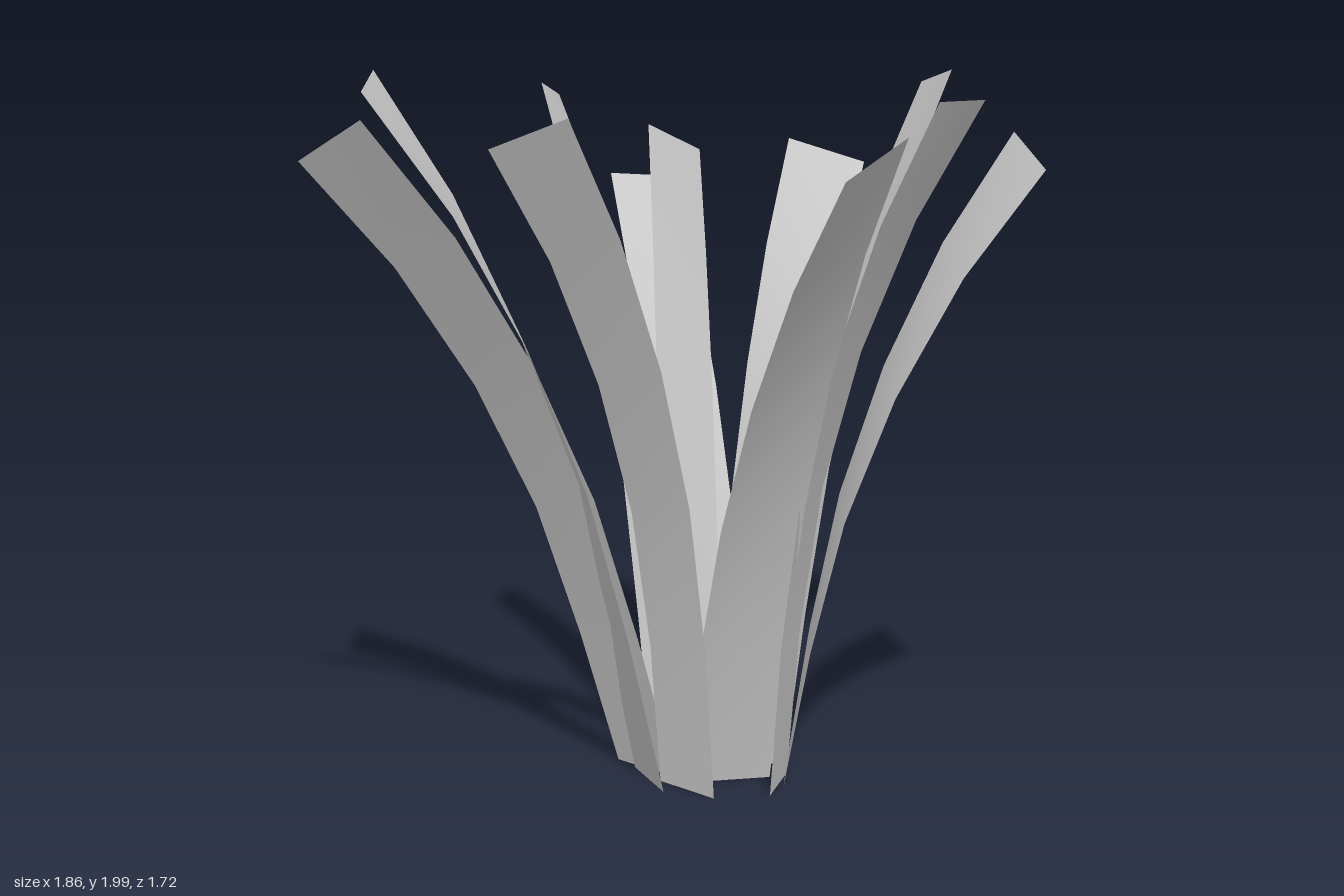
import * as THREE from 'three';

// Each blade: base edge [x, z] left/right, tip edge [x, y, z] left/right, extra curl
const BLADES = [
  [[-0.14, -0.14], [0.07, -0.23], [-0.51, 1.62, -0.65], [-0.36, 1.6, -0.8], 0],
  [[-0.15, -0.08], [-0.01, -0.19], [-0.32, 1.79, -0.45], [-0.23, 1.7, -0.65], 0],
  [[-0.04, -0.19], [0.19, -0.09], [0.04, 1.74, -0.67], [0.25, 1.67, -0.74], 0],
  [[0.07, -0.22], [0.21, -0.09], [0.39, 1.9, -0.86], [0.52, 1.95, -0.7], 0],
  [[0.2, -0.15], [0.26, 0.08], [0.8, 1.82, -0.27], [0.93, 1.74, -0.08], 0.1],
  [[0.235, -0.03], [0.25, 0.18], [0.81, 1.94, 0.13], [0.74, 1.95, 0.34], 0.3],
  [[0.2, 0.02], [-0.02, 0.15], [0.74, 1.89, 0.65], [0.64, 1.8, 0.86], -0.05],
  [[0.11, 0.25], [-0.08, 0.15], [-0.11, 1.92, 0.75], [-0.31, 1.84, 0.79], 0.33],
  [[-0.05, 0.11], [-0.26, 0], [-0.72, 1.89, 0.66], [-0.93, 1.77, 0.6], -0.04],
  [[-0.04, 0.24], [-0.19, 0.055], [-0.73, 1.96, 0.63], [-0.79, 2, 0.42], 0],
  [[-0.14, 0.05], [-0.02, -0.11], [-0.53, 1.93, -0.14], [-0.55, 1.88, -0.33], 0],
];

// Shared bend: outward and upward fraction at each cross-section
const OUT = [0, 0.12, 0.26, 0.455, 0.705, 1];
const UP = [0, 0.22, 0.435, 0.638, 0.83, 1];

function bladeGeometry([baseA, baseB, tipA, tipB, curl]) {
  const positions = [], indices = [];
  UP.forEach((u, i) => {
    // More curl keeps the lower blade upright and bends the upper part harder
    const s = OUT[i] - curl * u * (1 - u);
    for (const [base, tip] of [[baseA, tipA], [baseB, tipB]]) {
      positions.push(
        THREE.MathUtils.lerp(base[0], tip[0], s),
        THREE.MathUtils.lerp(0.01, tip[1], u),
        THREE.MathUtils.lerp(base[1], tip[2], s),
      );
    }
    if (i > 0) {
      const k = 2 * i;
      indices.push(k - 2, k - 1, k, k - 1, k + 1, k);
    }
  });
  const geometry = new THREE.BufferGeometry();
  geometry.setAttribute('position', new THREE.Float32BufferAttribute(positions, 3));
  geometry.setIndex(indices);
  geometry.computeVertexNormals();
  return geometry;
}

export function createModel() {
  const model = new THREE.Group();
  model.name = 'grassTuft';
  const grey = new THREE.MeshStandardMaterial({ color: 0xcccccc, side: THREE.DoubleSide });
  grey.name = 'bladeGrey';
  // Ring of arching blades
  BLADES.forEach((blade, i) => {
    const mesh = new THREE.Mesh(bladeGeometry(blade), grey);
    mesh.name = `blade${i + 1}`;
    model.add(mesh);
  });
  return model;
}
